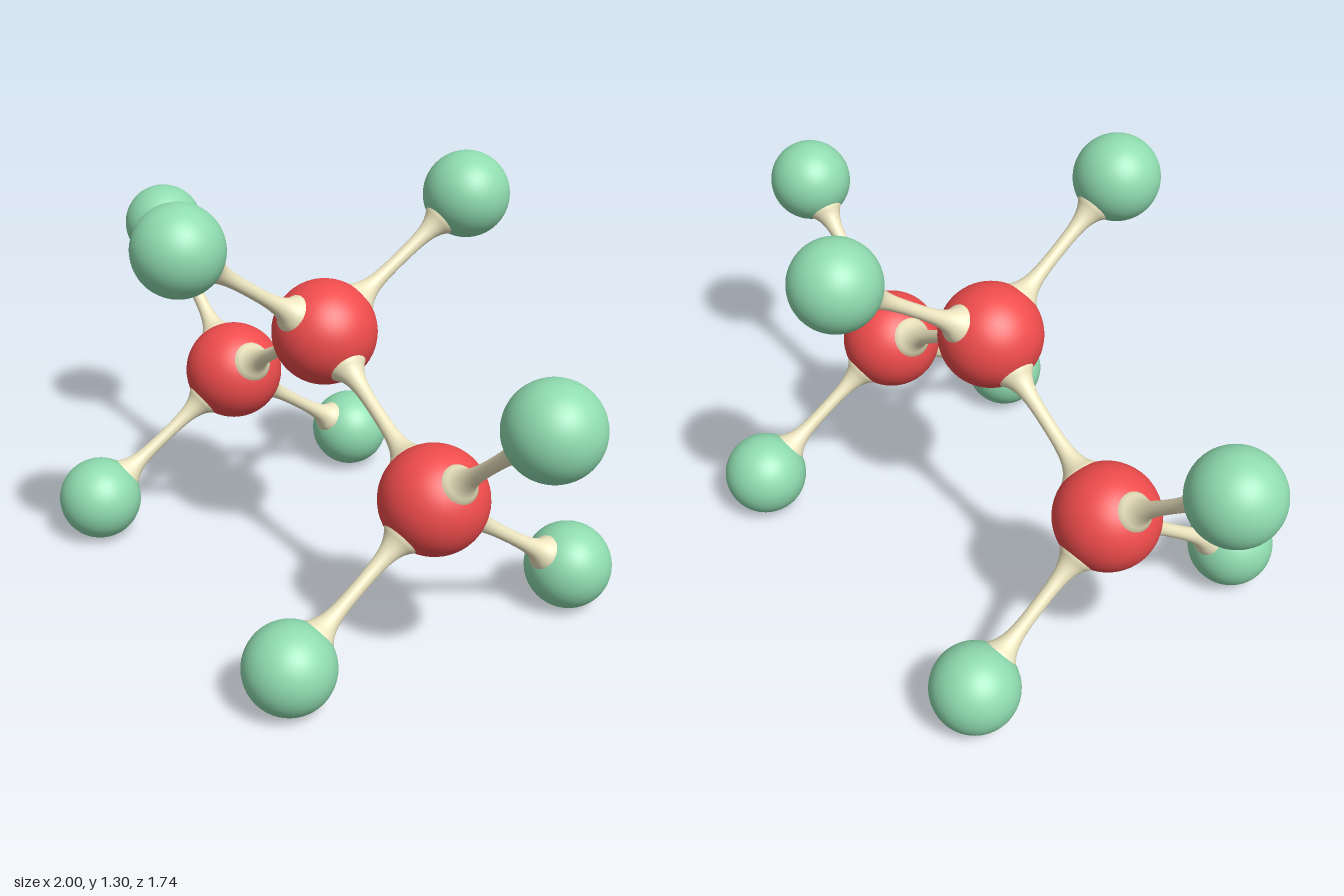
import * as THREE from 'three';

const V = (x, y, z) => new THREE.Vector3(x, y, z);
const RED = new THREE.MeshStandardMaterial({ color: 0xf04c4c });
const GREEN = new THREE.MeshStandardMaterial({ color: 0x8fdcb0 });
const CREAM = new THREE.MeshStandardMaterial({ color: 0xeee6c0 });
const CORE_R = 0.16, OUTER_R = 0.133;

// Three large balls, each with the small balls bonded to it
const CORES = [
  { at: V(0, 0.813, 0), outer: [V(0.292, 1.167, -0.41), V(-0.24, 1.167, 0.438)] },
  { at: V(0.47, 0.49, 0.298), outer: [V(0.864, 0.887, 0.548), V(0.227, 0.134, 0.736), V(0.764, 0.134, -0.11)] },
  { at: V(-0.472, 0.49, -0.302), outer: [V(-0.867, 0.887, -0.55), V(-0.234, 0.134, -0.742), V(-0.769, 0.134, 0.104)] },
];

function ball(name, center, radius, material) {
  const mesh = new THREE.Mesh(new THREE.SphereGeometry(radius, 48, 32), material);
  mesh.name = name;
  mesh.position.copy(center);
  return mesh;
}

// Slim rod whose ends flare into collars seated on the two balls
function bond(name, a, b, ra, rb) {
  const axis = b.clone().sub(a);
  const length = axis.length();
  const collarA = 0.36 * ra, collarB = 0.4 * rb;
  const start = Math.sqrt(ra * ra - collarA * collarA);
  const end = length - Math.sqrt(rb * rb - collarB * collarB);
  const core = 0.02, fall = 0.037, steps = 28;
  const profile = [new THREE.Vector2(0.001, start - 0.03), new THREE.Vector2(collarA, start - 0.012)];
  for (let i = 0; i <= steps; i++) {
    const y = THREE.MathUtils.lerp(start, end, i / steps);
    const r = core + (collarA - core) * Math.exp((start - y) / fall)
      + (collarB - core) * Math.exp((y - end) / fall);
    profile.push(new THREE.Vector2(r, y));
  }
  profile.push(new THREE.Vector2(collarB, end + 0.012), new THREE.Vector2(0.001, end + 0.03));
  const mesh = new THREE.Mesh(new THREE.LatheGeometry(profile, 28), CREAM);
  mesh.name = name;
  mesh.position.copy(a);
  mesh.quaternion.setFromUnitVectors(V(0, 1, 0), axis.normalize());
  return mesh;
}

export function createModel() {
  const group = new THREE.Group();
  group.name = 'molecule';
  CORES.forEach(({ at, outer }, i) => {
    group.add(ball(`coreBall${i}`, at, CORE_R, RED));
    // Chain bonds from the middle ball to the two end balls
    if (i > 0) group.add(bond(`chainBond${i}`, CORES[0].at, at, CORE_R, CORE_R));
    outer.forEach((p, j) => {
      group.add(ball(`outerBall${i}_${j}`, p, OUTER_R, GREEN));
      group.add(bond(`outerBond${i}_${j}`, at, p, CORE_R, OUTER_R));
    });
  });
  return group;
}
